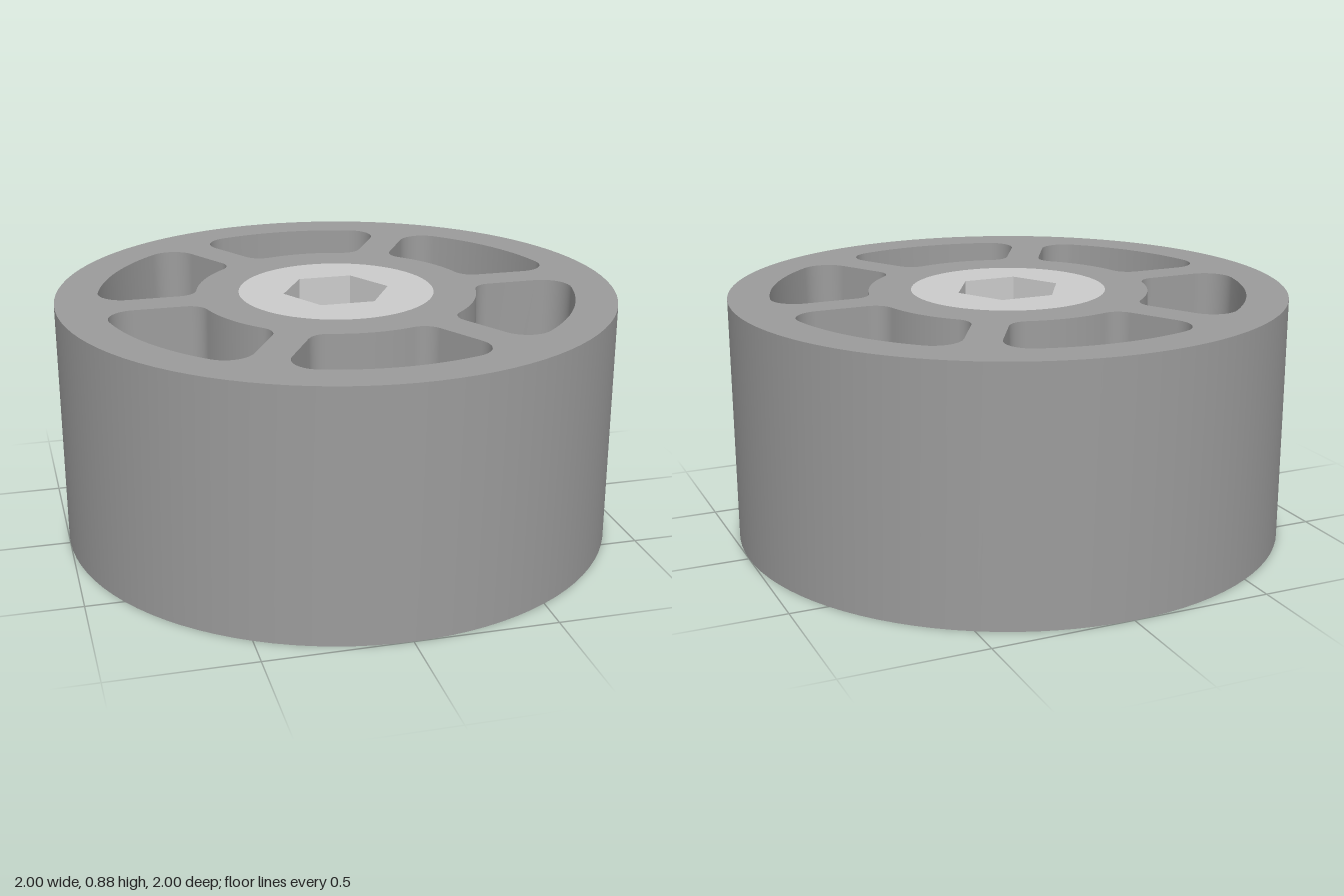
import * as THREE from 'three';
import { mergeGeometries } from 'three/addons/utils/BufferGeometryUtils.js';

const H = 0.885, DRAFT = 0.015, HUB_R = 0.35;

// Points along an arc, leaving out the end point
function arc(cx, cy, r, a0, a1, n) {
  return Array.from({ length: n }, (_, i) => {
    const a = a0 + ((a1 - a0) * i) / n;
    return new THREE.Vector2(cx + r * Math.cos(a), cy + r * Math.sin(a));
  });
}

const circle = (r, n) => arc(0, 0, r, 0, Math.PI * 2, n);

// Rounded window between two spokes, shrunk by d on every side
function windowLoop(d, turn) {
  const R = 0.852 - d, r = 0.502 + d, spoke = 0.062 + d;
  const fo = 0.095 - d, fi = 0.07 - d, mid = Math.PI / 6;
  const vi = spoke + fi, ui = Math.sqrt((r + fi) ** 2 - vi ** 2), ai = Math.atan2(vi, ui);
  const vo = spoke + fo, uo = Math.sqrt((R - fo) ** 2 - vo ** 2), ao = Math.atan2(vo, uo);
  const half = [
    ...arc(0, 0, r, mid, ai, 8),
    ...arc(ui, vi, fi, ai + Math.PI, Math.PI * 1.5, 8),
    new THREE.Vector2(ui, spoke),
    ...arc(uo, vo, fo, -Math.PI / 2, ao, 10),
    ...arc(0, 0, R, ao, mid, 8),
  ];
  const tip = new THREE.Vector2(R * Math.cos(mid), R * Math.sin(mid));
  // Mirror the half outline about the middle of the window
  const c = Math.cos(2 * mid), s = Math.sin(2 * mid);
  const other = half.slice(1).reverse().map(p => new THREE.Vector2(c * p.x + s * p.y, s * p.x - c * p.y));
  return [...half, tip, ...other].map(p => p.rotateAround(new THREE.Vector2(), turn));
}

// Smooth wall joining a bottom loop to a top loop
function wall(bottom, top) {
  const n = bottom.length, pos = [], uv = [], index = [];
  for (const [loop, y] of [[bottom, 0], [top, H]])
    loop.forEach((p, i) => { pos.push(p.x, y, -p.y); uv.push(i / n, y); });
  for (let i = 0; i < n; i++) {
    const j = (i + 1) % n;
    index.push(i, j, n + j, i, n + j, n + i);
  }
  const g = new THREE.BufferGeometry();
  g.setAttribute('position', new THREE.Float32BufferAttribute(pos, 3));
  g.setAttribute('uv', new THREE.Float32BufferAttribute(uv, 2));
  g.setIndex(index);
  g.computeVertexNormals();
  return g;
}

// Flat face with holes, facing up or down
function cap(outline, holes, y, up) {
  const shape = new THREE.Shape(outline);
  shape.holes = holes.map(h => new THREE.Path(h));
  const g = new THREE.ShapeGeometry(shape).rotateX(-Math.PI / 2).translate(0, y, 0);
  if (!up) {
    g.index.array.reverse();
    g.computeVertexNormals();
  }
  return g;
}

export function createModel() {
  const group = new THREE.Group();
  const add = (name, geometry, color) => {
    const mesh = new THREE.Mesh(geometry, new THREE.MeshStandardMaterial({ color }));
    mesh.name = name;
    group.add(mesh);
  };

  // Wheel body: rim, six spokes and the ring around the hub
  const rim = circle(1, 96), bore = circle(HUB_R, 64);
  const turns = Array.from({ length: 6 }, (_, i) => (i * Math.PI) / 3);
  const topWindows = turns.map(t => windowLoop(0, t));
  const bottomWindows = turns.map(t => windowLoop(DRAFT, t));
  add('wheelBody', mergeGeometries([
    cap(rim, [...topWindows, bore], H, true),
    cap(rim, [...bottomWindows, bore], 0, false),
    wall(rim, rim),
    ...turns.map((_, i) => wall([...bottomWindows[i]].reverse(), [...topWindows[i]].reverse())),
  ]), 0x9b9b9b);

  // Hub insert with a hexagonal shaft hole
  const hubShape = new THREE.Shape(bore);
  hubShape.holes.push(new THREE.Path(circle(0.193, 6)));
  const hub = new THREE.ExtrudeGeometry(hubShape, { depth: H, bevelEnabled: false });
  add('hubInsert', hub.rotateX(-Math.PI / 2), 0xcccccc);

  return group;
}
